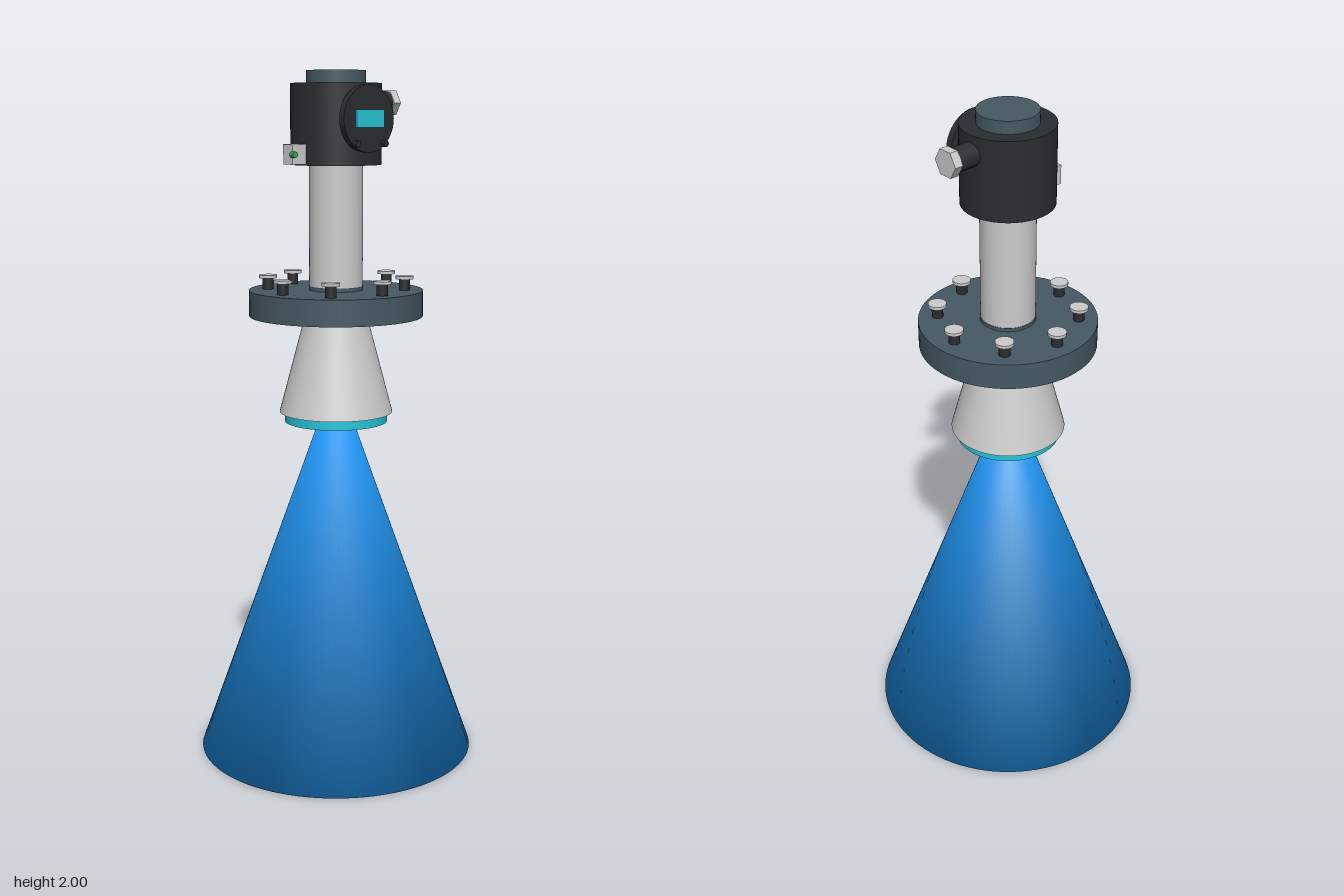
import * as THREE from 'three';

const paint = (color, extra = {}) => new THREE.MeshStandardMaterial({ color, ...extra });

// Closed cone whose caps blend softly into its side
function softCone(rBottom, rTop, height) {
  const profile = [[0, 0], [rBottom, 0], [rTop, height], [0, height]].map(([x, y]) => new THREE.Vector2(x, y));
  const geometry = new THREE.LatheGeometry(profile, 96);
  const { position, normal } = geometry.attributes;
  const slope = Math.atan2(rBottom - rTop, height);
  for (let i = 0; i < position.count; i++) {
    const cap = position.getY(i) > height / 2 ? 1 : -1;
    const n = new THREE.Vector3(position.getX(i), 0, position.getZ(i));
    if (n.length() > 0.001) n.setLength(Math.cos(slope)).setY(Math.sin(slope));
    n.y += cap;
    n.normalize();
    normal.setXYZ(i, n.x, n.y, n.z);
  }
  return geometry;
}

export function createModel() {
  const model = new THREE.Group();
  const grey = paint(0xcccccc);
  const slate = paint(0x455a64);
  const black = paint(0x2a2d2f);
  const cyan = paint(0x26c6da);
  const green = paint(0x2eaa60);
  const blue = paint(0x2196f3, { side: THREE.DoubleSide });

  const add = (name, geometry, material, x = 0, y = 0, z = 0, parent = model) => {
    const mesh = new THREE.Mesh(geometry, material);
    mesh.name = name;
    mesh.position.set(x, y, z);
    parent.add(mesh);
    return mesh;
  };
  // Upright round part between two heights
  const round = (name, material, y0, y1, rBottom, rTop = rBottom) =>
    add(name, new THREE.CylinderGeometry(rTop, rBottom, y1 - y0, 64), material, 0, (y0 + y1) / 2, 0);

  // Signal beam
  add('beam', softCone(0.407, 0.05, 1), blue);

  // Antenna, mounting flange and neck
  round('antennaLens', cyan, 1, 1.03, 0.15);
  round('antennaHorn', grey, 1.028, 1.31, 0.165, 0.09);
  round('flange', slate, 1.31, 1.385, 0.251);
  round('neckCollar', slate, 1.385, 1.396, 0.078);
  round('neck', grey, 1.396, 1.745, 0.077);

  // Ring of flange bolts
  for (let i = 0; i < 8; i++) {
    const bolt = new THREE.Group();
    const a = (i * Math.PI) / 4;
    bolt.name = 'flangeBolt';
    bolt.position.set(0.197 * Math.cos(a), 1.385, 0.197 * Math.sin(a));
    add('boltShank', new THREE.CylinderGeometry(0.016, 0.016, 0.032, 20), black, 0, 0.016, 0, bolt);
    add('boltHead', new THREE.CylinderGeometry(0.026, 0.026, 0.009, 24), grey, 0, 0.0365, 0, bolt);
    model.add(bolt);
  }

  // Electronics housing and its lid
  round('housing', black, 1.74, 1.965, 0.129);
  round('housingLid', slate, 1.965, 2, 0.084);

  // Round display cover with screen and two buttons
  const facing = (r, depth, sides) => new THREE.CylinderGeometry(r, r, depth, sides).rotateX(Math.PI / 2);
  add('displayCover', facing(0.092, 0.02, 48), black, 0, 1.868, 0.13);
  add('displayScreen', new THREE.BoxGeometry(0.102, 0.048, 0.007), cyan, 0, 1.868, 0.1435);
  for (const side of [-1, 1])
    add('displayButton', facing(0.009, 0.018, 16), black, side * 0.052, 1.8, 0.145);

  // Cable gland on the left with a hexagonal nut
  const sideways = (r, length, sides) => new THREE.CylinderGeometry(r, r, length, sides).rotateZ(Math.PI / 2);
  add('cableGland', sideways(0.033, 0.09, 32), black, 0.145, 1.912, 0);
  const nutMaterial = paint(0xcccccc, { flatShading: true });
  add('glandNut', sideways(0.04, 0.025, 6), nutMaterial, 0.2005, 1.912, 0);

  // Grounding lug on the right with its screw
  add('groundLug', new THREE.BoxGeometry(0.06, 0.055, 0.041), grey, -0.145, 1.771, 0);
  add('groundScrew', facing(0.0085, 0.016, 16), green, -0.176, 1.771, 0.026);

  return model;
}
